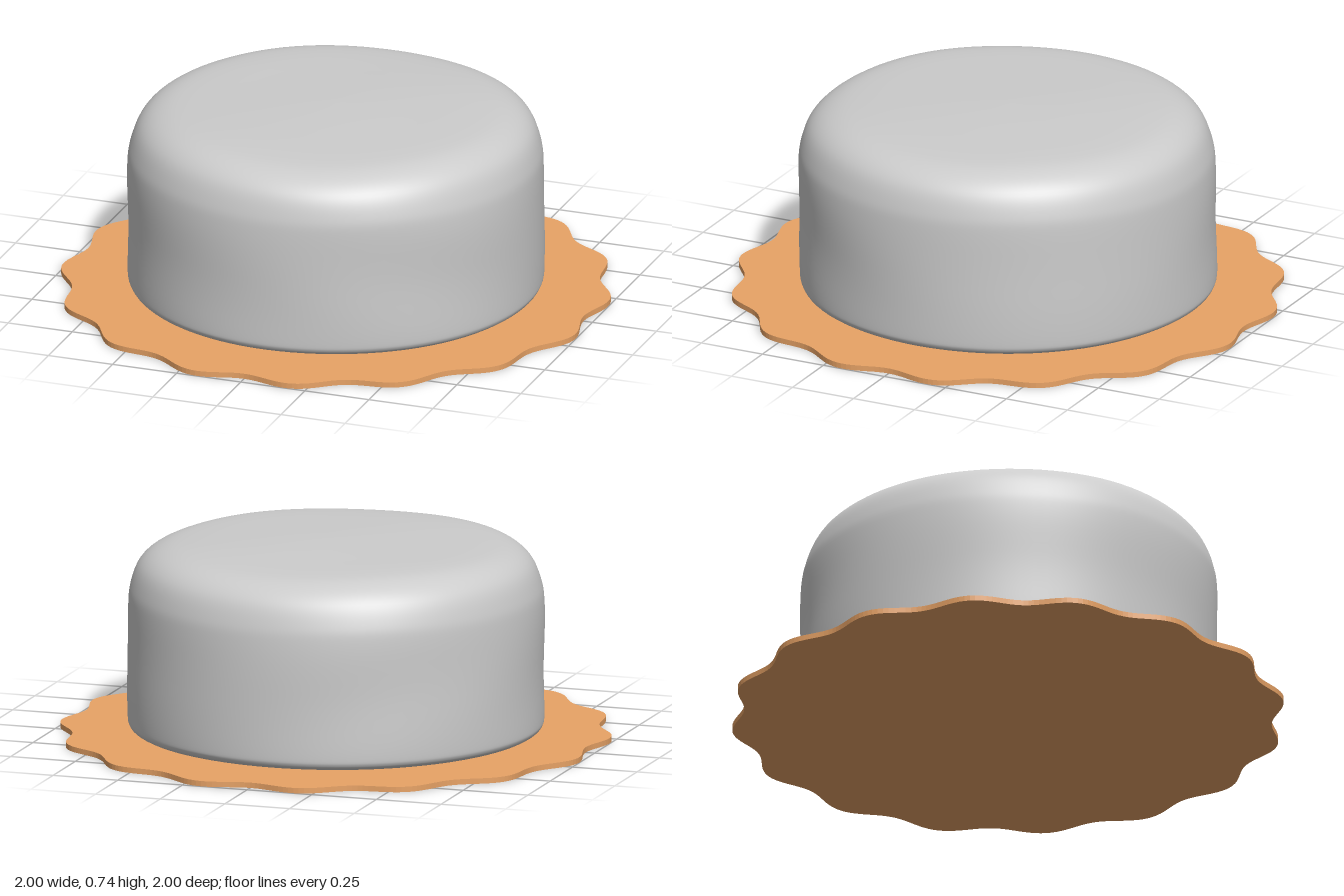
import * as THREE from 'three';
import { mergeVertices } from 'three/addons/utils/BufferGeometryUtils.js';

const BOARD_HEIGHT = 0.02;

// Flat board with sixteen soft scallops round its edge
function createBoard() {
  const outline = [];
  const steps = 320;
  for (let i = 0; i < steps; i++) {
    const a = (i / steps) * Math.PI * 2;
    const r = 0.991 - 0.025 * Math.cos(16 * a);
    outline.push(new THREE.Vector2(r * Math.cos(a), r * Math.sin(a)));
  }
  const geometry = new THREE.ExtrudeGeometry(new THREE.Shape(outline), {
    depth: BOARD_HEIGHT, bevelEnabled: false,
  });
  geometry.rotateX(-Math.PI / 2);
  const board = new THREE.Mesh(geometry, new THREE.MeshStandardMaterial({ color: 0xe8a366 }));
  board.name = 'scallopedBoard';
  return board;
}

// Round cake: straight side, rounded shoulder, gently domed top
function createCake() {
  const side = new THREE.SplineCurve([
    [0.735, 0.028], [0.757, 0.045], [0.763, 0.09], [0.762, 0.28], [0.763, 0.48],
    [0.752, 0.57], [0.715, 0.652], [0.64, 0.702], [0.52, 0.721], [0.28, 0.728], [0, 0.732],
  ].map(([r, y]) => new THREE.Vector2(r, y)));
  const profile = [new THREE.Vector2(0, 0.024), new THREE.Vector2(0.7, 0.024), ...side.getPoints(60)];
  profile[profile.length - 1].x = 0;

  let geometry = new THREE.LatheGeometry(profile, 96);
  geometry.deleteAttribute('uv');
  geometry.deleteAttribute('normal');

  // Slight hand-smoothed unevenness, with a lower shoulder at the back
  const p = geometry.attributes.position;
  for (let i = 0; i < p.count; i++) {
    const x = p.getX(i), y = p.getY(i), z = p.getZ(i);
    const height = THREE.MathUtils.smoothstep(y, 0.05, 0.7);
    const wave = 1 + 0.004 * Math.sin(5 * x + 9 * y) * Math.cos(4 * z - 5 * y);
    const shoulder = 1 + 0.012 * height * z;
    const lift = height * (0.004 * Math.sin(6 * x + 1) * Math.cos(5 * z) + 0.012 * Math.min(z + 0.25, 0));
    p.setXYZ(i, x * wave, y + lift, z * wave * shoulder);
  }
  geometry = mergeVertices(geometry, 1e-4);
  geometry.computeVertexNormals();
  const cake = new THREE.Mesh(geometry, new THREE.MeshStandardMaterial({ color: 0xcccccc }));
  cake.name = 'cake';
  return cake;
}

export function createModel() {
  const model = new THREE.Group();
  model.name = 'cakeOnBoard';
  model.add(createBoard(), createCake());
  return model;
}
